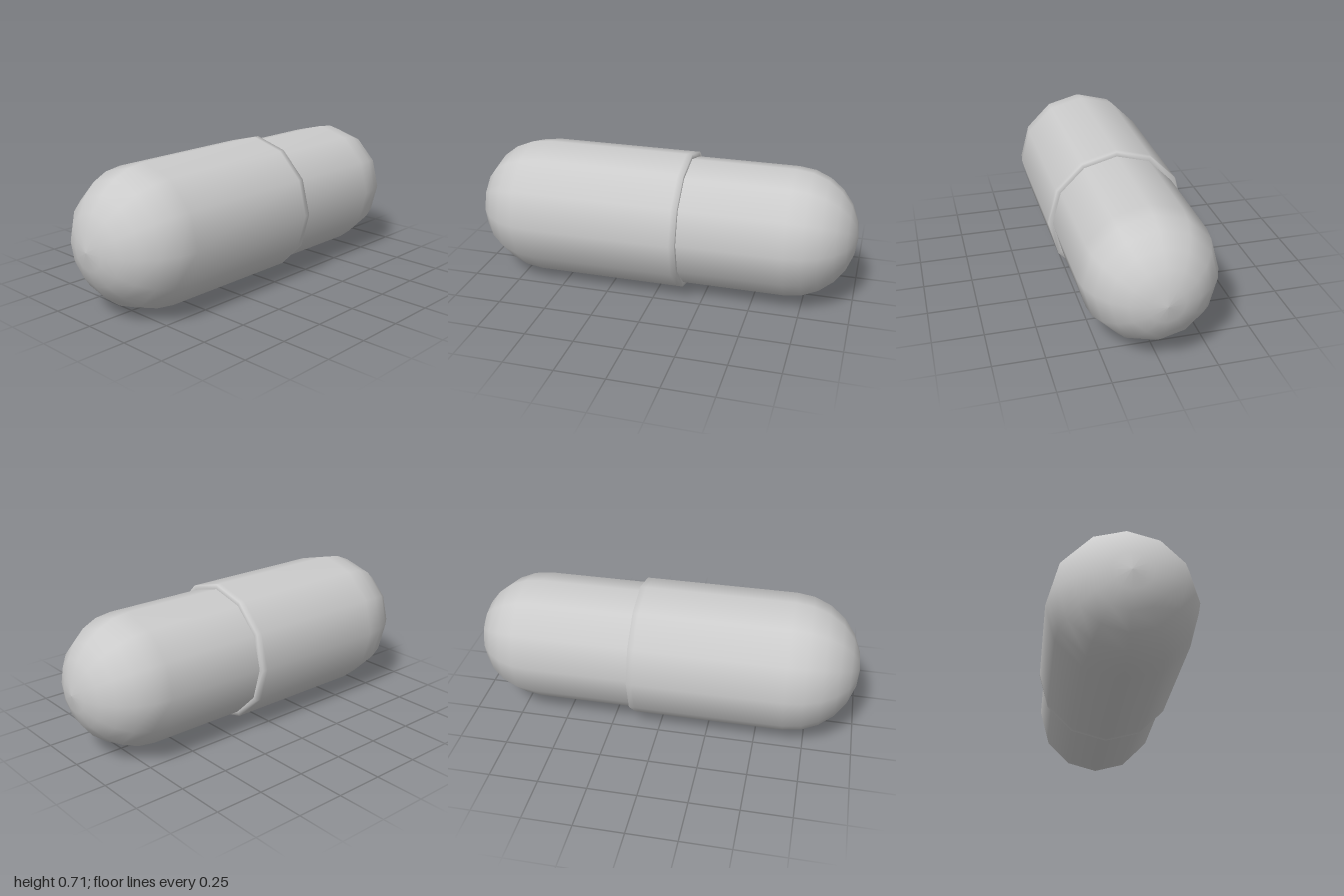
import * as THREE from 'three';

const SIDES = 12;
const DOME_STEPS = 6;
const CAP_RADIUS = 0.357;
const BODY_RADIUS = 0.333;
const SEAM_X = 0.14;

// Quarter-circle profile from the pole (on the axis) to the equator;
// end is -1 for the right tip and +1 for the left tip.
function domeProfile(radius, end) {
  const points = [];
  for (let i = 0; i <= DOME_STEPS; i++) {
    const a = (i / DOME_STEPS) * Math.PI / 2;
    points.push(new THREE.Vector2(radius * Math.sin(a), end * (1 - radius + radius * Math.cos(a))));
  }
  return points;
}

// Lathe a profile and lay its axis along x
function lathePart(name, profile, material) {
  const geometry = new THREE.LatheGeometry(profile, SIDES);
  geometry.rotateZ(-Math.PI / 2);
  const mesh = new THREE.Mesh(geometry, material);
  mesh.name = name;
  mesh.position.y = CAP_RADIUS;
  return mesh;
}

export function createModel() {
  const group = new THREE.Group();
  group.name = 'capsule';
  const material = new THREE.MeshStandardMaterial({ color: 0xcccccc });

  // Wider half: dome, tube, softly shaded rim and the step down to the body
  const cap = [
    ...domeProfile(CAP_RADIUS, -1),
    new THREE.Vector2(CAP_RADIUS, SEAM_X - 0.03),
    new THREE.Vector2(CAP_RADIUS, SEAM_X),
    new THREE.Vector2(BODY_RADIUS, SEAM_X),
  ];
  group.add(lathePart('outerCap', cap, material));

  // Narrower half: tube starting at the seam, closed by a dome
  const body = [
    new THREE.Vector2(BODY_RADIUS, SEAM_X),
    ...domeProfile(BODY_RADIUS, 1).reverse(),
  ];
  group.add(lathePart('innerBody', body, material));

  return group;
}
